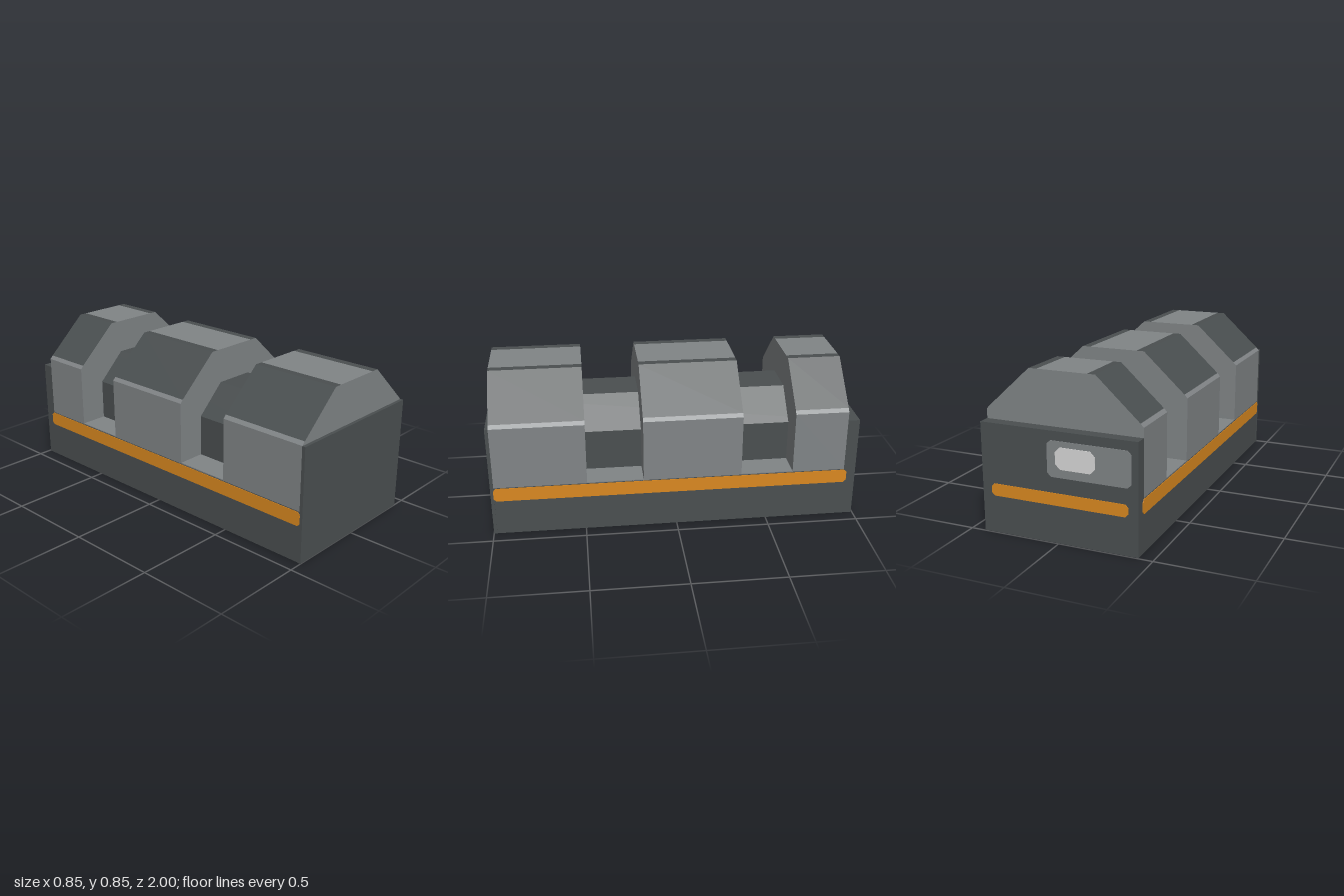
import * as THREE from 'three';

const mat = (name, color) => Object.assign(new THREE.MeshStandardMaterial({ color }), { name });

export function createModel() {
  const dark = mat('charcoal', 0x4a4f50);
  const grey = mat('grey', 0x808486);
  const orange = mat('orange', 0xd98820);
  const pale = mat('pale grey', 0xd6d6d6);
  const model = new THREE.Group();
  model.name = 'ribbedBlock';

  const add = (parent, name, geometry, material) => {
    const mesh = new THREE.Mesh(geometry, material);
    mesh.name = name;
    parent.add(mesh);
    return mesh;
  };

  // box given by its limits
  const box = (name, material, x0, x1, y0, y1, z0, z1) => {
    const g = new THREE.BoxGeometry(x1 - x0, y1 - y0, z1 - z0);
    g.translate((x0 + x1) / 2, (y0 + y1) / 2, (z0 + z1) / 2);
    return add(model, name, g, material);
  };

  // faces swept along z under an anticlockwise run of points
  const strip = (points, z0, z1) => {
    const p = [];
    for (let i = 0; i + 1 < points.length; i++) {
      const [a, b] = [points[i], points[i + 1]];
      p.push(...a, z0, ...b, z0, ...b, z1, ...a, z0, ...b, z1, ...a, z1);
    }
    const g = new THREE.BufferGeometry();
    g.setAttribute('position', new THREE.Float32BufferAttribute(p, 3));
    g.computeVertexNormals();
    return g;
  };
  const mirrored = (half) => [...half, ...half.map(([x, y]) => [-x, y]).reverse()];
  const shapeOf = (points) => new THREE.Shape(points.map(([x, y]) => new THREE.Vector2(x, y)));

  // thin plate with clipped corners, facing +z
  const plate = (w, h, c, depth) => {
    const [x, y] = [w / 2, h / 2];
    return new THREE.ExtrudeGeometry(shapeOf([
      [x, c - y], [x, y - c], [x - c, y], [c - x, y], [-x, y - c], [-x, c - y], [c - x, -y], [x - c, -y],
    ]), { depth, bevelEnabled: false });
  };

  // base and end walls
  const W = 0.424, BACK = -0.994;
  box('base', dark, -W, W, 0, 0.28, BACK, 1);
  box('frontWall', dark, -W - 0.002, W + 0.002, 0, 0.625, 0.982, 1);
  box('backWall', dark, -W, W, 0.28, 0.575, BACK, -0.93);

  // inner core, seen between the ribs
  const core = mirrored([[0.27, 0.28], [0.27, 0.51], [0.112, 0.665]]);
  add(model, 'core', strip(core, -0.92, 0.97), dark);

  // ribs: grey sides, ends and crown, dark slopes
  const half = [[W, 0.28], [W, 0.625], [0.407, 0.643], [0.178, 0.853], [0.135, 0.853]];
  const outline = mirrored(half);
  const ribs = [[0.485, 0.982], [-0.355, 0.18], [-0.93, -0.64]];
  for (const [z0, z1] of ribs) {
    const rib = new THREE.Group();
    rib.name = 'rib';
    model.add(rib);
    add(rib, 'leftSide', strip(outline.slice(0, 3), z0, z1), grey);
    add(rib, 'leftSlope', strip(outline.slice(2, 5), z0, z1), dark);
    add(rib, 'crown', strip(outline.slice(4, 6), z0, z1), grey);
    add(rib, 'rightSlope', strip(outline.slice(5, 8), z0, z1), dark);
    add(rib, 'rightSide', strip(outline.slice(7, 10), z0, z1), grey);
    const end = new THREE.ShapeGeometry(shapeOf(outline));
    add(rib, 'frontEnd', end, grey).position.z = z1;
    const back = add(rib, 'backEnd', end, grey);
    back.position.z = z0;
    back.rotation.y = Math.PI;
  }

  // ledges in the gaps, and orange side bands
  for (const s of [-1, 1]) {
    for (const [z0, z1] of [[0.18, 0.485], [-0.64, -0.355]]) {
      const [a, b] = s > 0 ? [0.27, W] : [-W, -0.27];
      box('ledge', grey, a, b, 0.279, 0.285, z0, z1);
    }
    const band = add(model, 'sideBand', plate(1.93, 0.076, 0.014, 0.003), orange);
    band.rotation.y = s * Math.PI / 2;
    band.position.set(s * W, 0.238, 0.02);
  }

  // back band and panel
  const onBack = (name, material, x, y, w, h, c, depth) => {
    const m = add(model, name, plate(w, h, c, depth), material);
    m.rotation.y = Math.PI;
    m.position.set(x, y, BACK);
  };
  onBack('backBand', orange, 0, 0.229, 0.746, 0.064, 0.016, 0.003);
  onBack('backPanel', grey, -0.168, 0.435, 0.444, 0.185, 0.02, 0.003);
  onBack('backPanelInset', pale, -0.098, 0.442, 0.212, 0.112, 0.026, 0.006);

  return model;
}
